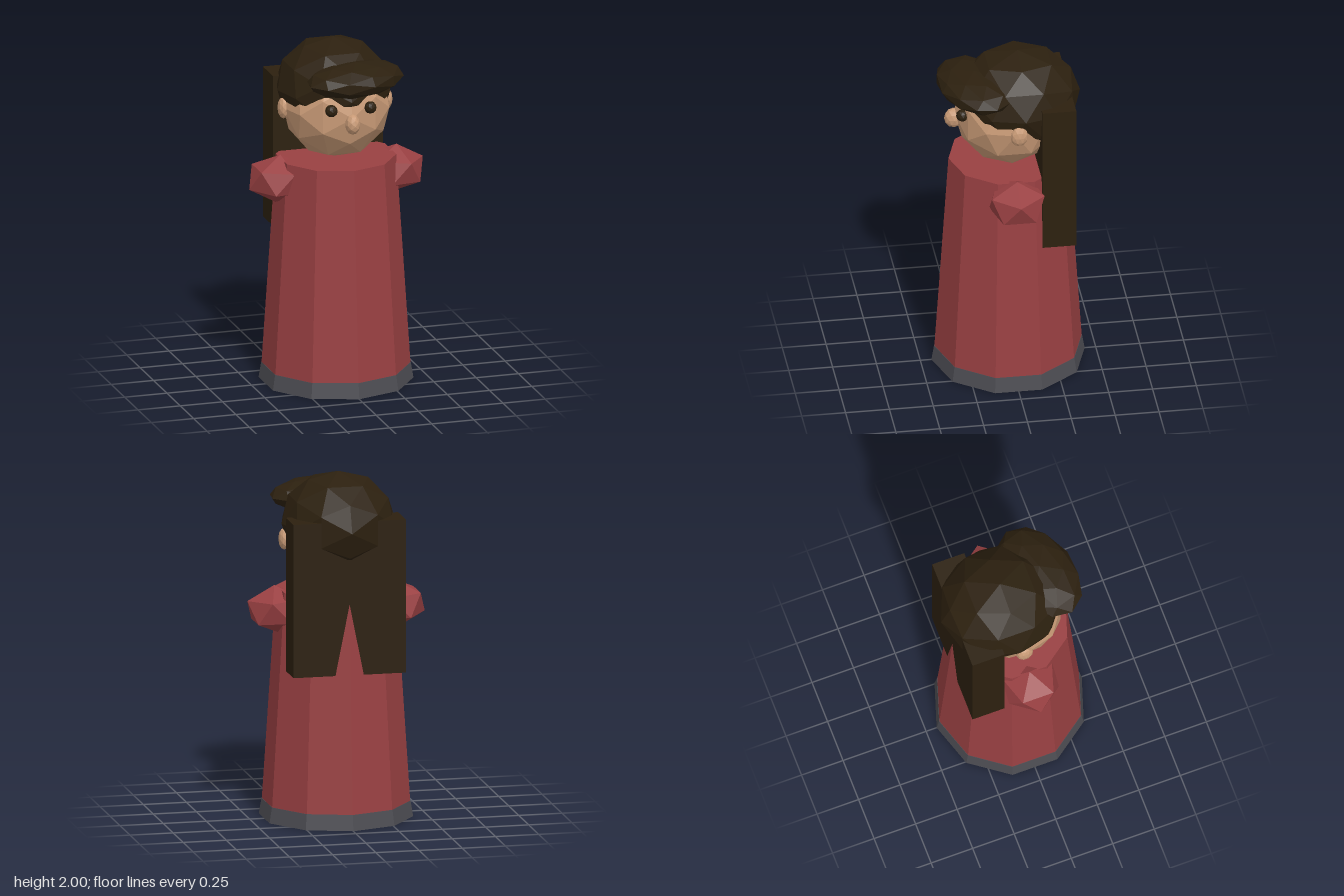
import * as THREE from 'three';

const flat = (name, color) => {
  const m = new THREE.MeshStandardMaterial({ color, flatShading: true });
  m.name = name;
  return m;
};

export function createModel() {
  const red = flat('red cloth', 0x994042);
  const grey = flat('grey base', 0x4c4c52);
  const skin = flat('skin', 0xc89a76);
  const brown = flat('dark brown hair', 0x2c200f);

  const model = new THREE.Group();
  model.name = 'figure';

  const add = (name, geometry, material, x, y, z) => {
    const mesh = new THREE.Mesh(geometry, material);
    mesh.name = name;
    mesh.position.set(x, y, z);
    model.add(mesh);
    return mesh;
  };

  // Faceted ellipsoid, rolled about z before it is stretched
  const blob = (rx, ry, rz, detail = 1, roll = 0) =>
    new THREE.IcosahedronGeometry(1, detail).rotateZ(roll).scale(rx, ry, rz);

  // Ten-sided robe and its plinth
  add('base', new THREE.CylinderGeometry(0.422, 0.437, 0.09, 10), grey, 0, 0.045, 0);
  add('robe', new THREE.CylinderGeometry(0.34, 0.42, 1.23, 10), red, 0, 0.705, 0);

  // Head and nose
  add('head', blob(0.31, 0.31, 0.31), skin, 0, 1.62, 0);
  add('nose', blob(0.042, 0.06, 0.055), skin, 0, 1.587, 0.31);

  // Paired parts
  for (const [side, s] of [['left', 1], ['right', -1]]) {
    add(side + 'Shoulder', blob(0.184, 0.139, 0.176, 0, -0.63), red, s * 0.343, 1.208, 0);
    add(side + 'Ear', blob(0.032, 0.063, 0.05), skin, s * 0.305, 1.615, -0.02);
    add(side + 'Eye', blob(0.036, 0.036, 0.036), brown, s * 0.115, 1.667, 0.277);
  }

  // Hair: cap, swept fringe and a long straight fall down the back
  add('hairCap', blob(0.328, 0.29, 0.355), brown, 0, 1.71, -0.055);
  const fringe = add('fringe', blob(0.305, 0.097, 0.2), brown, 0.052, 1.82, 0.2);
  fringe.rotation.y = 0.3;
  add('backHair', new THREE.BoxGeometry(0.65, 0.885, 0.193), brown, 0, 1.3225, -0.2455);

  return model;
}
